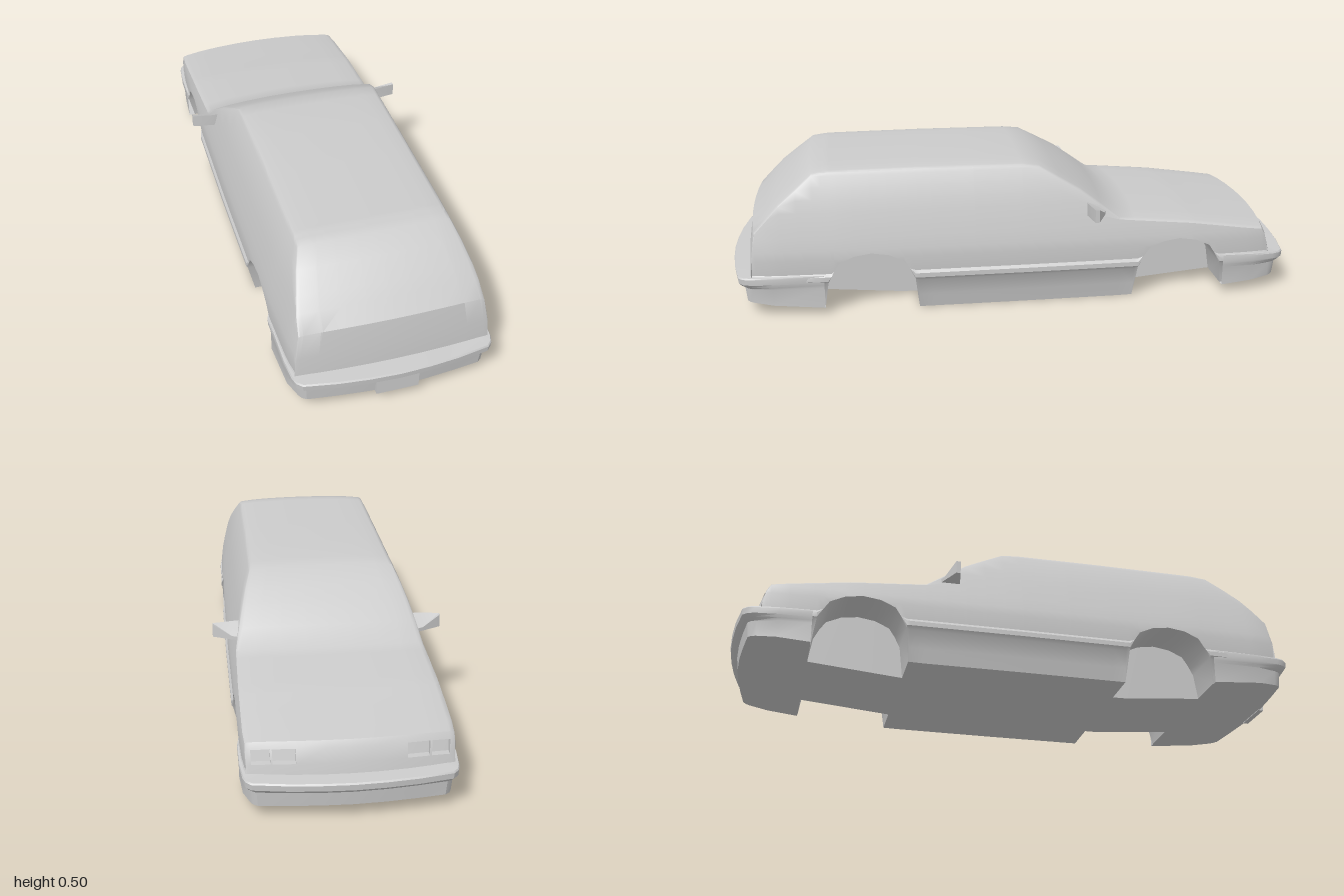
import * as THREE from 'three';
import { toCreasedNormals } from 'three/addons/utils/BufferGeometryUtils.js';

// Piecewise linear lookup in a list of [key, value] pairs
function lerp(list, k) {
  if (k <= list[0][0]) return list[0][1];
  for (let i = 1; i < list.length; i++) {
    const [a, va] = list[i - 1], [b, vb] = list[i];
    if (k <= b) return va + (vb - va) * (k - a) / (b - a);
  }
  return list[list.length - 1][1];
}

// Half width by height, and the rows used up the side
const PROFILE = [[0, 0.318], [0.05, 0.328], [0.11, 0.341], [0.122, 0.35], [0.138, 0.35], [0.148, 0.343],
  [0.2, 0.345], [0.23, 0.341], [0.27, 0.332], [0.31, 0.322], [0.36, 0.308], [0.4, 0.295], [0.44, 0.279],
  [0.475, 0.262], [0.492, 0.252]];
// Upper outline along the length: nose, bonnet, windscreen, roof, tailgate
const TOP = [[-0.912, 0.145], [-0.905, 0.18], [-0.892, 0.225], [-0.88, 0.245], [-0.62, 0.282], [-0.36, 0.306],
  [-0.22, 0.41], [-0.08, 0.49], [-0.02, 0.497], [0.3, 0.5], [0.65, 0.498], [0.705, 0.49], [0.82, 0.395],
  [0.905, 0.305], [0.918, 0.22], [0.923, 0.145]];
const TAPER = [[0, 1], [0.6, 0.99], [0.85, 0.965], [0.923, 0.93]];
// How far the centre line bulges lengthwise past the edges
const BOW = [[-0.92, -0.033], [-0.7, -0.015], [-0.36, -0.024], [-0.05, 0], [0.6, 0], [0.72, 0.012], [0.923, 0.016]];
const ARCH = [[0, 0.217], [0.06, 0.208], [0.11, 0.185], [0.13, 0.155], [0.15, 0.115], [0.163, 0]];
const ARCH_CENTRES = [0.512, -0.575];
const ACROSS = [0.985, 0.95, 0.77, 0.75, 0.53, 0.25, 0];
const WELL_X = 0.175;

const floorY = z => Math.max(0, (Math.abs(z) - 0.4) * 0.089);
const inArch = z => ARCH_CENTRES.some(c => Math.abs(z - c) < 0.163);
const lowY = z => Math.max(floorY(z), ...ARCH_CENTRES.map(c => lerp(ARCH, Math.abs(z - c))));
const sideX = (y, z) => lerp(PROFILE, y) * lerp(TAPER, Math.abs(z));

// Collects quads into one geometry
class Quads {
  constructor() { this.p = []; }
  add(a, b, c, d) {
    for (const tri of [[a, b, c], [a, c, d]]) {
      const v = tri.map(q => new THREE.Vector3(...q));
      const area = v[1].clone().sub(v[0]).cross(v[2].clone().sub(v[0])).length();
      if (area > 1e-9) this.p.push(...tri.flat());
    }
  }
  mesh(name, crease = 0.6, side = THREE.FrontSide) {
    const g = new THREE.BufferGeometry();
    g.setAttribute('position', new THREE.Float32BufferAttribute(this.p, 3));
    g.computeVertexNormals();
    const m = new THREE.Mesh(toCreasedNormals(g, crease),
      new THREE.MeshStandardMaterial({ color: 0xcccccc, side }));
    m.name = name;
    return m;
  }
}

// Lengthwise stations, including every corner of the outline and the arches
function stations() {
  const z = TOP.map(t => t[0]).concat([-0.82, -0.29, -0.15, 0.15, 0.76, 0.86]);
  for (const c of ARCH_CENTRES) for (const [d] of ARCH) z.push(c + d, c - d);
  return [...new Set(z.map(v => +v.toFixed(4)))].sort((a, b) => a - b);
}

// One cross-section from the +x sill over the top to the -x sill
function section(z) {
  const edgeY = lerp(TOP, z) - 0.014, low = lowY(z), edgeX = sideX(edgeY, z), half = [];
  for (const [row] of PROFILE) {
    const y = Math.min(Math.max(row, low), edgeY);
    half.push([sideX(y, z), y, z, 1]);
  }
  half.push([edgeX, edgeY, z, 1]);
  for (const t of ACROSS) {
    half.push([edgeX * t, edgeY + 0.014 * Math.pow(1 - t * t, 0.35), z + lerp(BOW, z) * (1 - t * t), t]);
  }
  return half.concat(half.slice(0, -1).reverse().map(([x, y, zz, t]) => [-x, y, zz, t]));
}

function buildBody(group) {
  const shell = new Quads(), lamps = new Quads(), floor = new Quads(), wells = new Quads();
  const zs = stations(), rings = zs.map(section);
  for (let j = 0; j + 1 < zs.length; j++) {
    const A = rings[j], B = rings[j + 1], z0 = zs[j], z1 = zs[j + 1];
    for (let i = 0; i + 1 < A.length; i++) {
      const quad = [A[i], A[i + 1], B[i + 1], B[i]].map(v => v.slice(0, 3));
      const t = Math.max(A[i][3], A[i + 1][3]), u = Math.min(A[i][3], A[i + 1][3]);
      const isLamp = z0 === -0.905 && ((t === 0.95 && u === 0.77) || (t === 0.75 && u === 0.53));
      if (!isLamp) { shell.add(...quad); continue; }
      // Recessed headlamp pocket
      const back = quad.map(([x, y, z]) => [x, y, z + 0.022]);
      lamps.add(...back);
      for (let k = 0; k < 4; k++) lamps.add(quad[k], quad[(k + 1) % 4], back[(k + 1) % 4], back[k]);
    }
    // Floor pan and wheel wells
    const y0 = floorY(z0), y1 = floorY(z1), arch = inArch((z0 + z1) / 2);
    floor.add([-WELL_X, y0, z0], [WELL_X, y0, z0], [WELL_X, y1, z1], [-WELL_X, y1, z1]);
    for (const s of [1, -1]) {
      const l0 = lowY(z0), l1 = lowY(z1), x0 = s * sideX(l0, z0), x1 = s * sideX(l1, z1), w = s * WELL_X;
      if (arch) {
        wells.add([w, l0, z0], [x0, l0, z0], [x1, l1, z1], [w, l1, z1]);
        wells.add([w, y0, z0], [w, l0, z0], [w, l1, z1], [w, y1, z1]);
      } else {
        const q = [[w, y0, z0], [x0, y0, z0], [x1, y1, z1], [w, y1, z1]];
        floor.add(...(s > 0 ? q : q.reverse()));
      }
    }
  }
  group.add(shell.mesh('bodyShell'), lamps.mesh('headlampPockets', 0.3, THREE.DoubleSide),
    floor.mesh('floorPan', 0.3), wells.mesh('wheelWells', 0.6, THREE.DoubleSide));
}

// Wrap-around bumper, starting at the wheel arch; built facing +z
function buildBumper(name, start) {
  const half = [[0.342, start, 0.1, 0], [0.342, 0.85, 0.3, 0], [0.335, 0.925, 0.7, 0.3], [0.327, 0.95, 0.7, 0.6],
    [0.31, 0.967, 0.6, 0.8], [0.2, 0.986, 0.1, 1], [0.1, 0.996, 0, 1], [0, 1, 0, 1]];
  const path = half.concat(half.slice(0, -1).reverse().map(([x, z, nx, nz]) => [-x, z, -nx, nz]));
  const rows = [[0.147, 0.09], [0.143, 0.004], [0.138, 0], [0.118, 0.002], [0.108, 0.012], [0.098, 0.026], [0, 0.032]];
  const grid = rows.map(([y, d]) => path.map(([x, z, nx, nz]) =>
    [x - nx * d, y || floorY(z - nz * d) - 0.001, z - nz * d]));
  const q = new Quads(), n = path.length - 1;
  for (let r = 0; r + 1 < rows.length; r++) {
    for (let i = 0; i < n; i++) q.add(grid[r][i], grid[r][i + 1], grid[r + 1][i + 1], grid[r + 1][i]);
  }
  // Underside
  const last = grid[rows.length - 1];
  for (let i = 0; i < n / 2; i++) q.add(last[i], last[i + 1], last[n - i - 1], last[n - i]);
  return q.mesh(name, 0.5, THREE.DoubleSide);
}

// Wedge-shaped door mirror
function buildMirror(s) {
  const plan = [[0.30, -0.315], [0.335, -0.3], [0.4, -0.27], [0.4, -0.255], [0.325, -0.243], [0.29, -0.245]];
  const top = plan.map(([x, z]) => [s * x, z < -0.28 ? 0.325 : 0.357, z]);
  const bottom = plan.map(([x, z]) => [s * x, 0.312, z]);
  const q = new Quads(), n = plan.length;
  for (let i = 0; i < n; i++) q.add(bottom[i], bottom[(i + 1) % n], top[(i + 1) % n], top[i]);
  for (const ring of [top, bottom]) {
    q.add(ring[0], ring[1], ring[4], ring[5]);
    q.add(ring[1], ring[2], ring[3], ring[4]);
  }
  return q.mesh(s > 0 ? 'leftMirror' : 'rightMirror', 0.3, THREE.DoubleSide);
}

export function createModel() {
  const group = new THREE.Group();
  group.name = 'estateCarBody';
  buildBody(group);

  const rear = buildBumper('rearBumper', 0.676);
  const front = buildBumper('noseBumper', 0.739);
  front.rotation.y = Math.PI;
  group.add(rear, front, buildMirror(1), buildMirror(-1));

  // Blank plate on the rear bumper
  const plate = new THREE.Mesh(new THREE.BoxGeometry(0.142, 0.06, 0.02),
    new THREE.MeshStandardMaterial({ color: 0xcccccc }));
  plate.name = 'rearPlate';
  plate.position.set(0, 0.076, 0.97);
  group.add(plate);
  return group;
}
